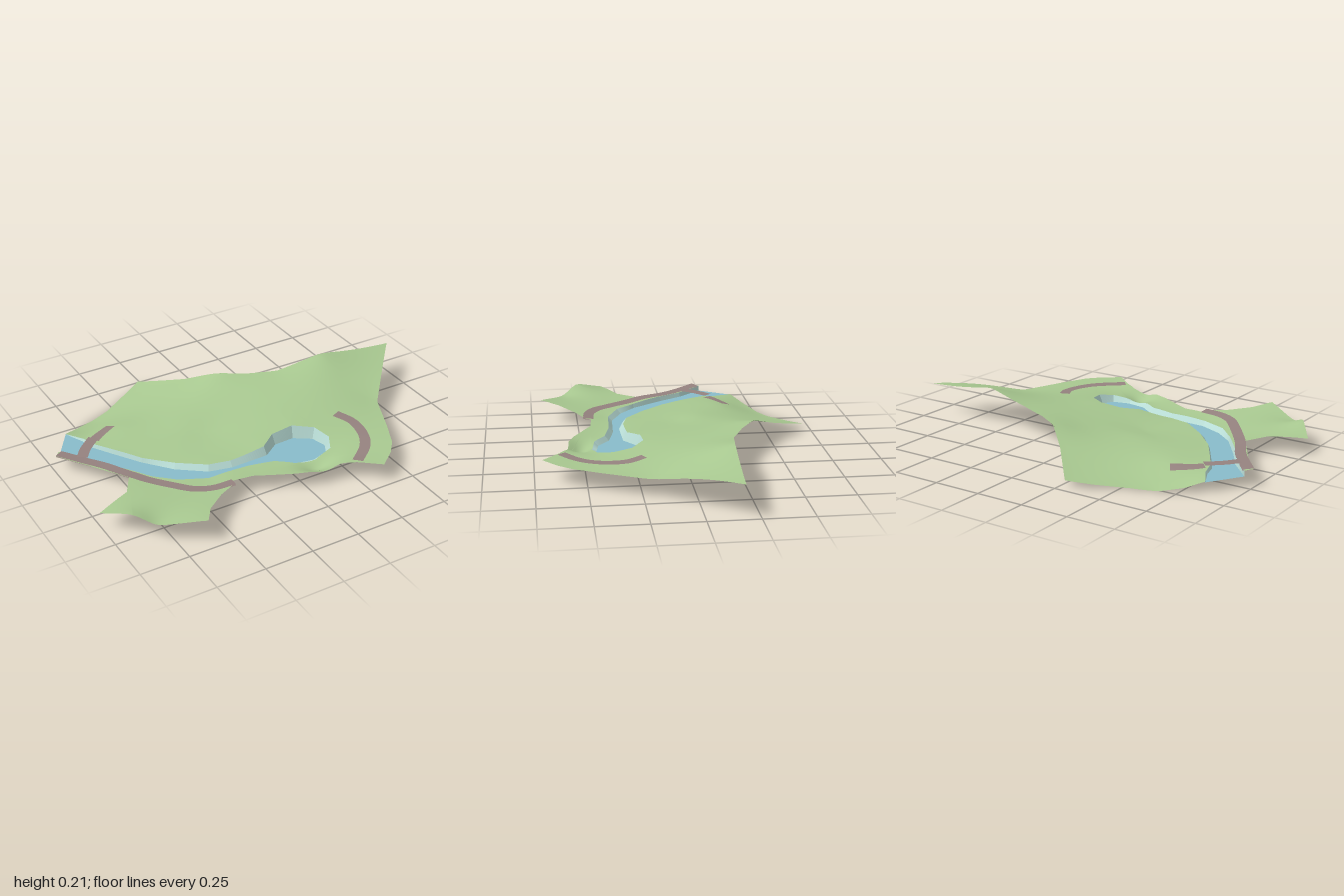
import * as THREE from 'three';
import { mergeVertices } from 'three/addons/utils/BufferGeometryUtils.js';

const mat = (name, color) => new THREE.MeshStandardMaterial({ name, color, side: THREE.DoubleSide });

// Bank of the stream: down the west side, around the pool, back up the east side (x, z)
const bank = [
  [-0.955, -0.23], [-0.845, -0.1], [-0.77, 0.02], [-0.65, 0.185], [-0.555, 0.28], [-0.42, 0.34],
  [-0.21, 0.35], [-0.075, 0.38], [0.005, 0.44], [0.12, 0.46], [0.22, 0.435], [0.26, 0.36],
  [0.235, 0.265], [0.14, 0.2], [0.02, 0.205], [-0.065, 0.265], [-0.26, 0.27], [-0.37, 0.245],
  [-0.5, 0.145], [-0.62, 0.02], [-0.715, -0.13], [-0.77, -0.22], [-0.79, -0.3], [-0.845, -0.4],
];

// Outer edge of the land, from the north-west bank clockwise to the west bank (x, z)
const edge = [
  [-0.77, -0.455], [-0.68, -0.505], [-0.54, -0.56], [-0.395, -0.645], [-0.28, -0.71], [-0.1, -0.5],
  [0.03, -0.38], [0.155, -0.3], [0.32, -0.23], [0.57, -0.195], [1, -0.175], [0.67, 0.205],
  [0.57, 0.43], [0.5, 0.57], [0.44, 0.64], [0.35, 0.71], [0.25, 0.625], [0.18, 0.585], [0.03, 0.57],
  [-0.05, 0.54], [-0.235, 0.445], [-0.34, 0.435], [-0.345, 0.46], [-0.45, 0.515], [-0.555, 0.6],
  [-0.62, 0.695], [-0.82, 0.565], [-0.9, 0.49], [-1, 0.345], [-0.82, 0.26], [-0.755, 0.15],
  [-0.875, -0.045], [-0.985, -0.195],
];

// Spot heights (x, z, y): outer edge, then stream banks, then open ground
const edgeSpots = [
  [-0.845, -0.4, 0.053], [-0.77, -0.455, 0.025], [-0.65, -0.52, 0.003], [-0.54, -0.56, 0.007],
  [-0.395, -0.645, 0.02], [-0.28, -0.71, 0.037], [-0.1, -0.5, 0.105], [0.03, -0.38, 0.16],
  [0.32, -0.23, 0.168], [0.57, -0.195, 0.215], [1, -0.175, 0.17], [0.67, 0.205, 0.095],
  [0.5, 0.57, 0.1], [0.35, 0.71, 0.1], [0.18, 0.585, 0.09], [0.03, 0.57, 0.085],
  [-0.34, 0.44, 0.085], [-0.62, 0.695, 0.12], [-0.82, 0.565, 0.09], [-0.9, 0.49, 0.125],
  [-1, 0.345, 0.085], [-0.75, 0.15, 0.08], [-0.985, -0.2, 0.082],
];
const bankSpots = [
  [-0.845, -0.1, 0.073], [-0.65, 0.185, 0.071], [-0.42, 0.34, 0.072], [-0.21, 0.35, 0.075],
  [-0.075, 0.38, 0.075], [0.005, 0.44, 0.07], [0.12, 0.46, 0.065], [0.22, 0.435, 0.083],
  [0.26, 0.36, 0.096], [0.14, 0.2, 0.113], [-0.06, 0.265, 0.093], [-0.37, 0.245, 0.077],
  [-0.5, 0.145, 0.074], [-0.62, 0.02, 0.072], [-0.75, -0.2, 0.069],
];
const groundSpots = [
  [0.09, 0.51, 0.04], [-0.6, -0.3, 0.07], [-0.3, -0.3, 0.088], [-0.3, -0.12, 0.097],
  [-0.25, 0, 0.083], [0, -0.2, 0.13], [0.2, 0.03, 0.13], [0.6, 0, 0.15],
  [0.42, 0.35, 0.1], [-0.7, 0.4, 0.09],
];
const spots = [...edgeSpots, ...bankSpots, ...groundSpots];

// Smooth surface through the spot heights: solve for rounded-distance weights by elimination
const reach = (a, b) => Math.hypot(a[0] - b[0], a[1] - b[1], 0.035);
function makeHeight() {
  const n = spots.length;
  const rows = spots.map(a => [...spots.map(b => reach(a, b)), a[2]]);
  for (let c = 0; c < n; c++) {
    let p = c;
    for (let r = c; r < n; r++) if (Math.abs(rows[r][c]) > Math.abs(rows[p][c])) p = r;
    [rows[c], rows[p]] = [rows[p], rows[c]];
    for (let r = 0; r < n; r++) {
      if (r === c) continue;
      const f = rows[r][c] / rows[c][c];
      for (let k = c; k <= n; k++) rows[r][k] -= f * rows[c][k];
    }
  }
  const w = rows.map((r, i) => r[n] / r[i]);
  return (x, z) => Math.max(0, spots.reduce((s, p, i) => s + w[i] * reach([x, z], p), 0));
}

// Flat horizontal sheet from an outline
function sheet(points) {
  const shape = new THREE.Shape(points.map(([x, z]) => new THREE.Vector2(x, -z)));
  return new THREE.ShapeGeometry(shape).rotateX(-Math.PI / 2);
}

// Split every triangle into four, several times
function subdivide(geometry, times) {
  let p = Array.from(geometry.toNonIndexed().attributes.position.array);
  for (let t = 0; t < times; t++) {
    const out = [];
    for (let i = 0; i < p.length; i += 9) {
      const [a, b, c] = [0, 3, 6].map(k => p.slice(i + k, i + k + 3));
      const mid = (u, v) => u.map((q, k) => (q + v[k]) / 2);
      const ab = mid(a, b), bc = mid(b, c), ca = mid(c, a);
      out.push(...[a, ab, ca, ab, b, bc, ca, bc, c, ab, bc, ca].flat());
    }
    p = out;
  }
  const g = new THREE.BufferGeometry();
  g.setAttribute('position', new THREE.Float32BufferAttribute(p, 3));
  return mergeVertices(g, 1e-5);
}

// Insert points so each side of an open line has 16 steps
function densify(line) {
  return line.flatMap((a, i) => {
    const b = line[i + 1];
    if (!b) return [a];
    return Array.from({ length: 16 }, (_, k) => a.map((q, j) => q + (b[j] - q) * k / 16));
  });
}

// Grid surface from rows of equal length
function loft(rows) {
  const m = rows[0].length, index = [];
  for (let i = 0; i < rows.length - 1; i++) {
    for (let j = 0; j < m - 1; j++) {
      const a = i * m + j;
      index.push(a, a + 1, a + m, a + 1, a + m + 1, a + m);
    }
  }
  const g = new THREE.BufferGeometry();
  g.setAttribute('position', new THREE.Float32BufferAttribute(rows.flat(2), 3));
  g.setIndex(index);
  g.computeVertexNormals();
  return g;
}

export function createModel() {
  const group = new THREE.Group();
  const height = makeHeight();
  const grass = mat('grass green', 0xa8c890);
  const water = mat('water blue', 0x88bccb);
  const wall = mat('pale bank', 0xb8dcd5);
  const path = mat('path brown', 0x95827f);
  const add = (name, geometry, material) => {
    const mesh = new THREE.Mesh(geometry, material);
    mesh.name = name;
    group.add(mesh);
  };

  // Land with the stream bed cut out
  const land = subdivide(sheet([...bank, ...edge]), 4);
  const pos = land.attributes.position;
  for (let i = 0; i < pos.count; i++) pos.setY(i, height(pos.getX(i), pos.getZ(i)));
  land.computeVertexNormals();
  add('land', land, grass);

  // Stream bed: the bank moved inwards at water level, nearly upright upstream
  const level = 0.05;
  const inner = bank.map(([x, z], i) => {
    if (i === 0 || i === bank.length - 1) return [x, z];
    const a = bank[i - 1], b = bank[i + 1];
    const dx = b[0] - a[0], dz = b[1] - a[1];
    const k = (x < -0.56 ? 0.008 : 0.022) / Math.hypot(dx, dz);
    return [x + k * dz, z - k * dx];
  });
  add('water', sheet(inner).translate(0, level, 0), water);
  const foot = densify(inner);
  const walls = loft(densify(bank).map(([x, z], i) => [
    [x, height(x, z), z], [foot[i][0], level, foot[i][1]],
  ])).toNonIndexed();
  walls.computeVertexNormals();
  add('streamBank', walls, wall);

  // Paths draped on the land, showing above and below
  const strip = (points, width, yAt) => {
    const curve = new THREE.CatmullRomCurve3(points.map(([x, z]) => new THREE.Vector3(x, 0, z)));
    const rows = [];
    for (let i = 0; i <= 40; i++) {
      const p = curve.getPointAt(i / 40), t = curve.getTangentAt(i / 40);
      rows.push([-0.5, -0.25, 0, 0.25, 0.5].map(s => {
        const x = p.x - t.z * s * width, z = p.z + t.x * s * width;
        return [x, yAt(x, z), z];
      }));
    }
    return loft(rows);
  };
  const paths = {
    westPath: [[-0.345, 0.45], [-0.45, 0.44], [-0.53, 0.4], [-0.6, 0.32], [-0.69, 0.2], [-0.755, 0.1],
      [-0.815, -0.01], [-0.895, -0.12], [-0.965, -0.21]],
    eastPath: [[0.395, 0.22], [0.435, 0.31], [0.42, 0.43], [0.37, 0.52], [0.26, 0.615]],
    northPath: [[-0.755, -0.25], [-0.72, -0.28], [-0.62, -0.34]],
  };
  for (const [name, points] of Object.entries(paths)) {
    for (const [side, lift] of [['Top', 0.003], ['Underside', -0.003]]) {
      add(name + side, strip(points, 0.054, (x, z) => height(x, z) + lift), path);
    }
  }

  // Footbridge over the stream
  add('footbridge', strip([[-0.875, -0.125], [-0.835, -0.18], [-0.8, -0.215], [-0.755, -0.255]], 0.055,
    () => 0.08), path);
  return group;
}
